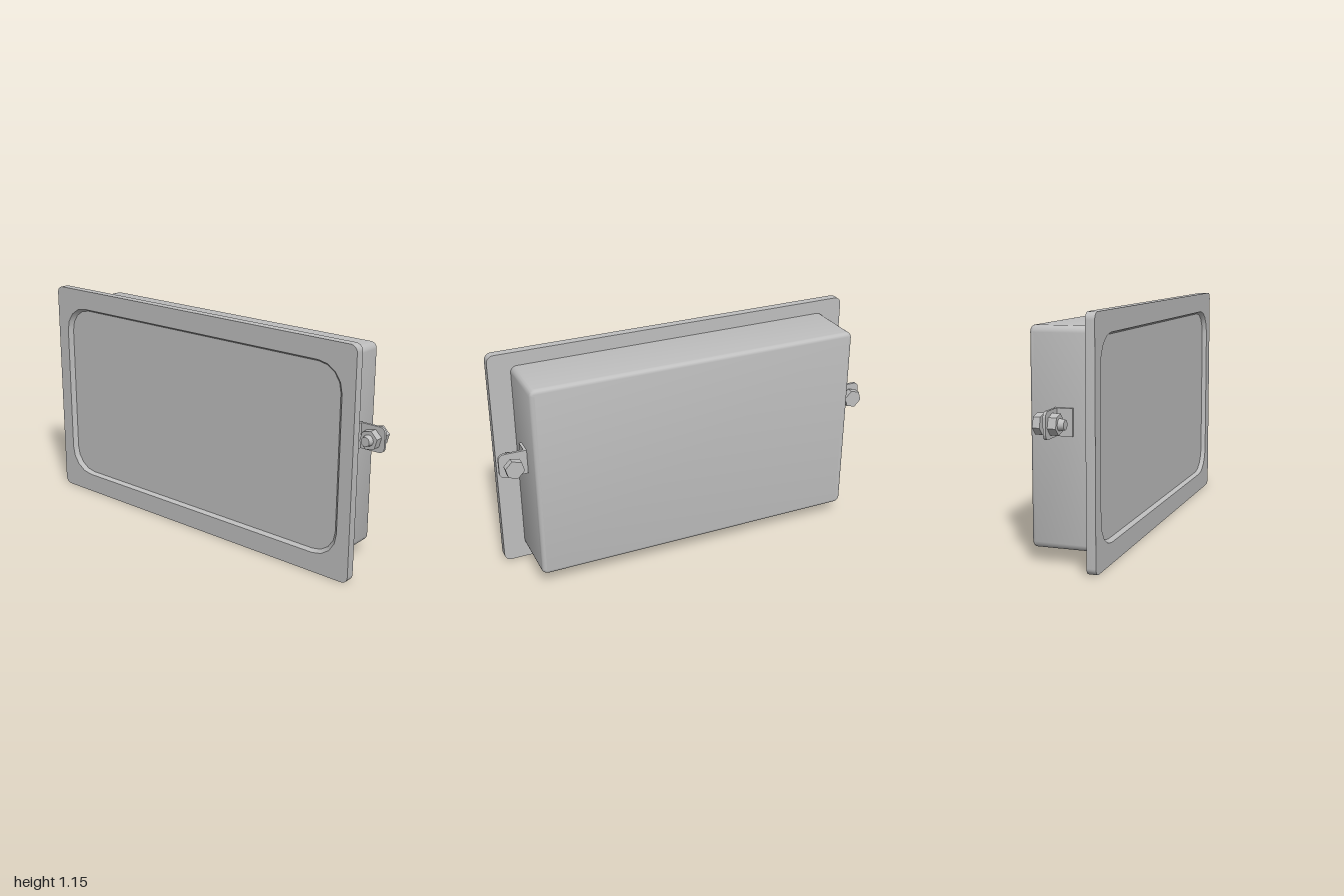
import * as THREE from 'three';
import { toCreasedNormals } from 'three/addons/utils/BufferGeometryUtils.js';

const CY = 0.575; // height of the panel centre

// Counter-clockwise rounded rectangle as a list of points
function roundedRect(hw, hh, r, seg, cx = 0, cy = CY) {
  const pts = [];
  [[1, 1], [-1, 1], [-1, -1], [1, -1]].forEach(([sx, sy], q) => {
    for (let i = 0; i <= seg; i++) {
      const a = (q + i / seg) * Math.PI / 2;
      pts.push(new THREE.Vector2(
        cx + sx * (hw - r) + r * Math.cos(a),
        cy + sy * (hh - r) + r * Math.sin(a)));
    }
  });
  return pts;
}

// Band joining a rear loop to a front loop; faces outwards
function band(back, zBack, front, zFront) {
  const pos = [], idx = [], n = back.length;
  back.forEach((p, i) => pos.push(p.x, p.y, zBack, front[i].x, front[i].y, zFront));
  for (let i = 0; i < n; i++) {
    const a = 2 * i, b = 2 * ((i + 1) % n);
    idx.push(a, b, b + 1, a, b + 1, a + 1);
  }
  const g = new THREE.BufferGeometry();
  g.setAttribute('position', new THREE.Float32BufferAttribute(pos, 3));
  g.setIndex(idx);
  return toCreasedNormals(g, 0.6);
}

export function createModel() {
  const model = new THREE.Group();
  model.name = 'recessedPanelBox';
  const grey = new THREE.MeshStandardMaterial({ color: 0xbfbfbf, side: THREE.DoubleSide });
  grey.name = 'grey';
  const add = (parent, name, geo, x = 0, y = 0, z = 0) => {
    const m = new THREE.Mesh(geo, grey);
    m.name = name;
    m.position.set(x, y, z);
    parent.add(m);
    return m;
  };

  // Front plate with a shallow recess and sloping walls
  const zBack = 0.133, zFloor = 0.157, zFront = 0.177;
  const plate = new THREE.Group();
  plate.name = 'frontPlate';
  model.add(plate);
  const rim = roundedRect(0.97, 0.575, 0.035, 6);
  const outer = roundedRect(0.9, 0.475, 0.135, 4);
  const inner = roundedRect(0.88, 0.463, 0.125, 4);
  const face = new THREE.Shape(rim);
  face.holes.push(new THREE.Path(outer));
  add(plate, 'frameFace', new THREE.ShapeGeometry(face), 0, 0, zFront);
  add(plate, 'frameEdge', band(rim, zBack, rim, zFront));
  add(plate, 'recessWall', band(outer.slice().reverse(), zFront, inner.slice().reverse(), zFloor)
    .scale(1, 1, 1));
  add(plate, 'recessFloor', new THREE.ShapeGeometry(new THREE.Shape(inner)), 0, 0, zFloor);
  const rear = new THREE.ShapeGeometry(new THREE.Shape(rim)).rotateY(Math.PI);
  add(plate, 'plateBack', rear, 0, 0, zBack);

  // Housing with rounded edges; its front bevel is buried in the plate
  const b = 0.022;
  const housing = new THREE.ExtrudeGeometry(
    new THREE.Shape(roundedRect(0.858 - b, 0.505 - b, 0.01, 4)),
    { depth: 0.284, bevelSize: b, bevelThickness: b, bevelSegments: 5 });
  add(model, 'housing', toCreasedNormals(housing, 0.6), 0, 0, -0.175 + b);

  // Side brackets, each with a nut, a stud and a bolt head
  const by = 0.657, bx = 0.936;
  const hex = (r, h) => new THREE.CylinderGeometry(r, r, h, 6).toNonIndexed()
    .rotateX(Math.PI / 2).rotateZ(-Math.PI / 12);
  const crisp = (g) => { g.computeVertexNormals(); return g; };

  // Flange outline: square at the housing, rounded at the free end
  const flange = new THREE.Shape();
  const x0 = 0.86, x1 = 1.0, h = 0.063, r = 0.028;
  flange.moveTo(x0, -h);
  flange.lineTo(x1 - r, -h);
  flange.absarc(x1 - r, -h + r, r, -Math.PI / 2, 0);
  flange.absarc(x1 - r, h - r, r, 0, Math.PI / 2);
  flange.lineTo(x0, h);
  const flangeGeo = toCreasedNormals(new THREE.ExtrudeGeometry(flange,
    { depth: 0.013, bevelEnabled: false, curveSegments: 6 }), 0.6);

  for (const side of [1, -1]) {
    const g = new THREE.Group();
    g.name = side > 0 ? 'leftBracket' : 'rightBracket';
    const f = add(g, 'flange', flangeGeo, 0, by, side > 0 ? -0.052 : -0.039);
    if (side < 0) f.rotation.y = Math.PI;
    add(g, 'mountingLeg', new THREE.BoxGeometry(0.013, 2 * h, 0.086), side * 0.8655, by, -0.009);
    add(g, 'nut', crisp(hex(0.049, 0.039)), side * bx, by, -0.0195);
    add(g, 'studEnd', new THREE.CylinderGeometry(0.023, 0.028, 0.028, 16).rotateX(Math.PI / 2),
      side * bx, by, 0.013);
    add(g, 'boltHead', crisp(hex(0.049, 0.034)), side * bx, by, -0.0925);
    model.add(g);
  }
  return model;
}
